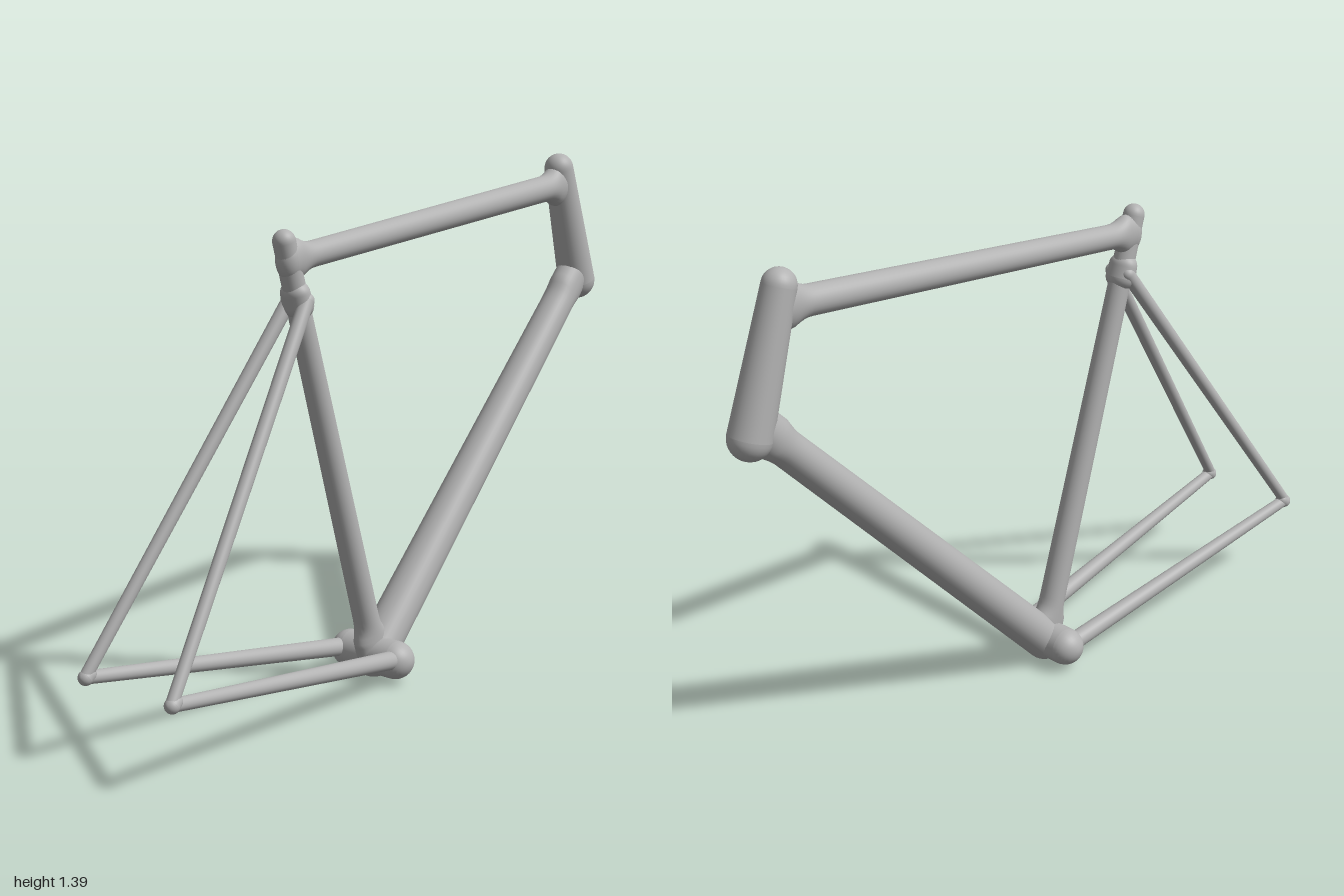
import * as THREE from 'three';
import { mergeVertices } from 'three/addons/utils/BufferGeometryUtils.js';

const frameGrey = new THREE.MeshStandardMaterial({ color: 0xb2b2b2 });
frameGrey.name = 'frame grey';

// Round-ended tapered tube from a to b. flareA / flareB = [start, extra]:
// past "start" from that end, the in-plane radius swells by "extra" as a fillet.
function tube(name, a, b, ra, rb, { flareA = [0, 0], flareB = [0, 0], widthZ = 1 } = {}) {
  const from = new THREE.Vector3(...a), to = new THREE.Vector3(...b);
  const length = from.distanceTo(to);
  const profile = [];
  for (let i = 0; i <= 10; i++) {
    const t = (i / 10) * Math.PI / 2;
    profile.push(new THREE.Vector2(ra * Math.sin(t), -ra * Math.cos(t)));
  }
  for (let i = 1; i < 64; i++) {
    // samples crowd toward both ends, where the fillets are
    const s = (1 - Math.cos((i / 64) * Math.PI)) / 2;
    profile.push(new THREE.Vector2(ra + (rb - ra) * s, s * length));
  }
  for (let i = 0; i <= 10; i++) {
    const t = (i / 10) * Math.PI / 2;
    profile.push(new THREE.Vector2(rb * Math.cos(t), length + rb * Math.sin(t)));
  }
  let geometry = new THREE.LatheGeometry(profile, 32);
  const pos = geometry.attributes.position;
  const swell = (d, [start, extra]) =>
    extra * Math.pow(Math.max(0, 1 - Math.max(0, d - start) / 0.055), 2);
  for (let i = 0; i < pos.count; i++) {
    const x = pos.getX(i), y = pos.getY(i), z = pos.getZ(i);
    const r = Math.hypot(x, z) || 1;
    const grow = swell(y, flareA) + swell(length - y, flareB);
    pos.setXYZ(i, x * (1 + grow / r * Math.min(1, r / ra)), y, z * widthZ);
  }
  geometry.deleteAttribute('uv');
  geometry.deleteAttribute('normal');
  geometry = mergeVertices(geometry, 1e-5);
  geometry.computeVertexNormals();

  const up = to.clone().sub(from).normalize();
  const side = new THREE.Vector3(0, 0, 1);
  if (Math.abs(up.z) > 0.9) side.set(1, 0, 0);
  side.addScaledVector(up, -side.dot(up)).normalize();
  const across = new THREE.Vector3().crossVectors(up, side);
  const mesh = new THREE.Mesh(geometry, frameGrey);
  mesh.name = name;
  mesh.quaternion.setFromRotationMatrix(new THREE.Matrix4().makeBasis(across, up, side));
  mesh.position.copy(from);
  return mesh;
}

export function createModel() {
  const group = new THREE.Group();
  group.name = 'bicycleFrame';

  // Main triangle
  group.add(
    tube('headTube', [0.943, 1.003, 0], [0.833, 1.352, 0], 0.056, 0.043),
    tube('seatTube', [-0.05, 0.07, 0], [-0.402, 1.254, 0], 0.037, 0.03, { flareA: [0.06, 0.02] }),
    tube('topTube', [-0.386, 1.204, 0], [0.848, 1.303, 0], 0.034, 0.039,
      { flareA: [0.03, 0.02], flareB: [0.043, 0.022] }),
    tube('downTube', [-0.05, 0.061, 0], [0.925, 1.03, 0], 0.058, 0.046,
      { flareB: [0.07, 0.012], widthZ: 1.04 }),
  );

  // Bottom bracket shell, across the frame
  group.add(tube('bottomBracket', [-0.053, 0.068, -0.08], [-0.053, 0.068, 0.08], 0.053, 0.053));

  // Rear triangle, mirrored left and right
  for (const s of [-1, 1]) {
    group.add(
      tube('chainStay', [-0.053, 0.072, s * 0.088], [-0.981, 0.235, s * 0.148], 0.026, 0.017),
      tube('seatStay', [-0.35, 1.1, s * 0.028], [-0.981, 0.235, s * 0.148], 0.02, 0.016),
      tube('dropout', [-0.978, 0.234, s * 0.148], [-0.968, 0.24, s * 0.147], 0.02, 0.019),
    );
  }

  // Joint where the seat stays meet the seat tube
  group.add(tube('seatStayJoint', [-0.352, 1.085, 0], [-0.362, 1.118, 0], 0.036, 0.034, { widthZ: 1.25 }));
  return group;
}
